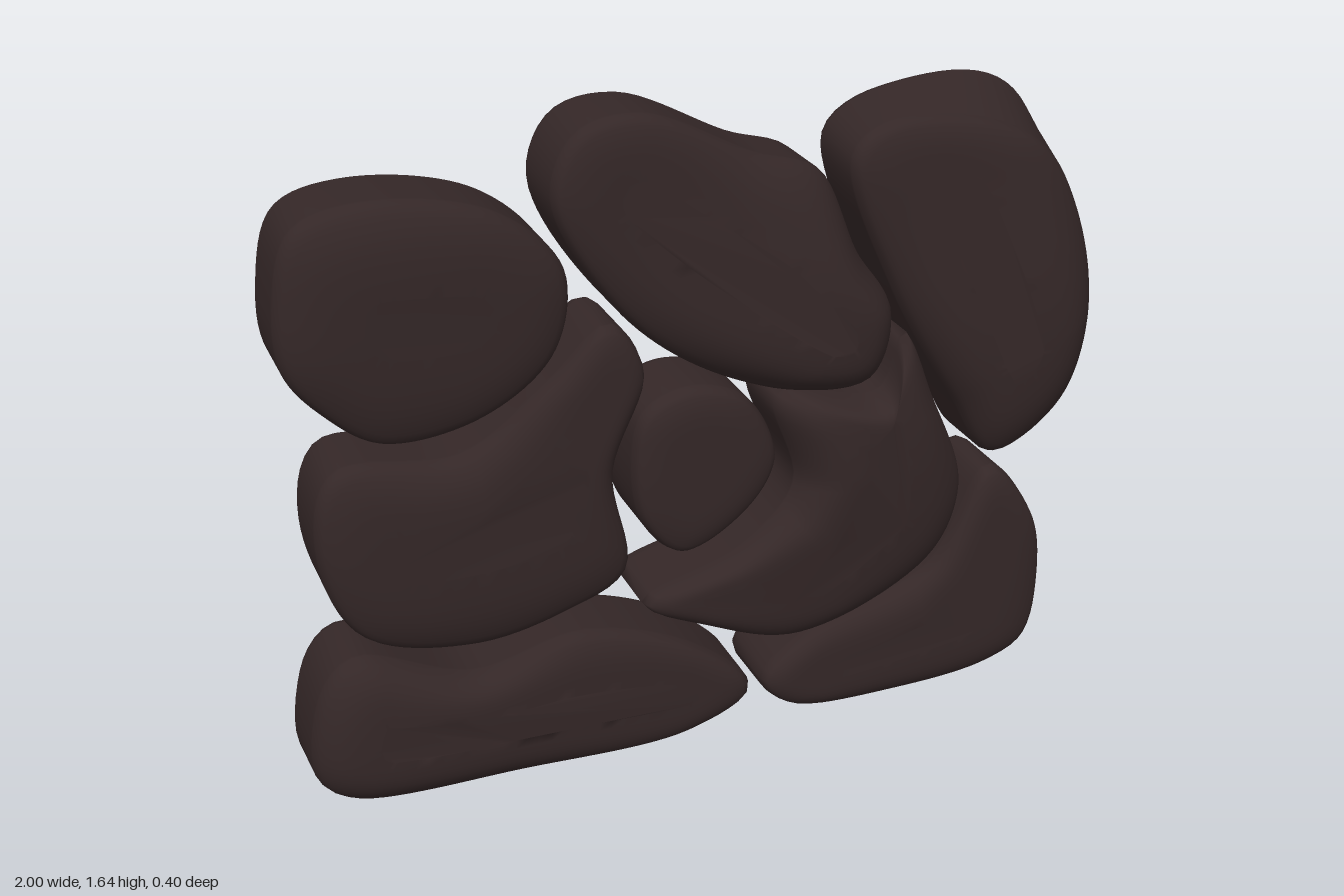
import * as THREE from 'three';
import { mergeVertices } from 'three/addons/utils/BufferGeometryUtils.js';

const WALL = 0.11; // half thickness of the stones at their rim
const CROWN = 0.02; // even doming of every face
const SAMPLES = 84; // points around each rim

// Cross-section from middle to rim: t pulls towards the spine, level 1 = rim edge, 2 = full bulge
const LAYERS = Array.from({ length: 11 }, (_, k) => {
  const u = (1 - k / 10) ** 2;
  return { t: 0.75 * u, level: 0.75 + 1.25 * (1 - (1 - u) ** 4) };
});

const toVec = ([x, y]) => new THREE.Vector3(x, y, 0);
const falloff = (v, x, y, size) => Math.exp(-((v.x - x) ** 2 + (v.y - y) ** 2) / size);

// Closest point to p on a polyline
function nearestOnSpine(p, spine) {
  let best = null;
  for (let i = 0; i + 1 < spine.length; i++) {
    const q = new THREE.Line3(spine[i], spine[i + 1]).closestPointToPoint(p, true, new THREE.Vector3());
    if (!best || q.distanceTo(p) < best.distanceTo(p)) best = q;
  }
  return best;
}

// Pillow-shaped stone: rings run from the front cap, out over the rim, to the back cap.
// outline is clockwise; front/back are the bulge peaks [x, y, depth];
// swell pushes part of the back rim outwards.
function stoneGeometry(outline, spine, front, back, swell) {
  const n = SAMPLES;
  const rim = new THREE.CatmullRomCurve3(outline.map(toVec), true).getSpacedPoints(n).slice(0, n);
  const line = spine.map(toVec);
  const roots = rim.map((p) => nearestOnSpine(p, line));
  const rings = [
    ...LAYERS.map((layer) => ({ ...layer, side: 1 })),
    ...LAYERS.map((layer) => ({ ...layer, side: -1 })).reverse(),
  ];
  const positions = [], index = [];
  rings.forEach(({ t, level, side }, r) => {
    const [px, py, depth] = side > 0 ? front : back;
    rim.forEach((p, i) => {
      const v = p.clone().lerp(roots[i], t);
      const bulge = CROWN + (depth - WALL - CROWN) * falloff(v, px, py, 0.12);
      v.z = side * (WALL * Math.min(level, 1) + bulge * Math.max(level - 1, 0));
      if (swell && side < 0) {
        const w = falloff(v, swell.x, swell.y, 0.07);
        v.x += swell.dx * w;
        v.y += swell.dy * w;
      }
      positions.push(v.x, v.y, v.z);
      if (r + 1 < rings.length) {
        const a = r * n + i, b = r * n + (i + 1) % n;
        index.push(a, b + n, a + n, a, b, b + n);
      }
    });
  });
  // Close the innermost ring on both faces
  const inner = rim.map((p, i) => p.clone().lerp(roots[i], LAYERS[0].t)).reverse();
  const last = (rings.length - 1) * n;
  for (const face of THREE.ShapeUtils.triangulateShape(inner, [])) {
    const [a, b, c] = face.map((i) => n - 1 - i);
    index.push(a, b, c, last + a, last + c, last + b);
  }
  const geometry = new THREE.BufferGeometry();
  geometry.setAttribute('position', new THREE.Float32BufferAttribute(positions, 3));
  geometry.setIndex(index);
  const merged = mergeVertices(geometry, 1e-4);
  merged.computeVertexNormals();
  return merged;
}

export function createModel() {
  const group = new THREE.Group();
  group.name = 'stoneCluster';
  const material = new THREE.MeshStandardMaterial({ color: 0x342727 });
  const addStone = (name, ...shape) => {
    const mesh = new THREE.Mesh(stoneGeometry(...shape), material);
    mesh.name = name;
    group.add(mesh);
  };

  // Top row
  addStone('upperLeftStone',
    [[-1, 1.3], [-0.95, 1.47], [-0.79, 1.515], [-0.5, 1.455], [-0.35, 1.3], [-0.38, 1.11], [-0.55, 0.98], [-0.78, 0.95],
      [-0.91, 1.04], [-0.99, 1.15]],
    [[-0.76, 1.24], [-0.58, 1.23]], [-0.75, 1.3, 0.15], [-0.75, 1.2, 0.17]);
  addStone('upperMiddleStone',
    [[-0.38, 1.47], [-0.32, 1.61], [-0.17, 1.64], [0.1, 1.52], [0.26, 1.46], [0.36, 1.25], [0.45, 1.1], [0.4, 0.93],
      [0.2, 0.925], [-0.05, 1.03], [-0.24, 1.2]],
    [[-0.18, 1.45], [0.28, 1.08]], [0.27, 1.12, 0.2], [0.22, 1.27, 0.2]);
  addStone('upperRightStone',
    [[0.34, 1.48], [0.42, 1.55], [0.7, 1.53], [0.87, 1.42], [0.99, 1.08], [0.93, 0.79], [0.74, 0.67], [0.63, 0.83], [0.45, 1.15]],
    [[0.6, 1.38], [0.77, 0.95]], [0.85, 1.03, 0.18], [0.78, 1.45, 0.18], { x: 0.76, y: 1.55, dx: 0.04, dy: 0.07 });

  // Middle row
  addStone('middleLeftStone',
    [[-0.95, 0.72], [-0.9, 0.9], [-0.6, 0.9], [-0.4, 1.04], [-0.25, 1.16], [-0.17, 1.04], [-0.25, 0.8], [-0.22, 0.53],
      [-0.38, 0.445], [-0.6, 0.405], [-0.86, 0.48]],
    [[-0.72, 0.68], [-0.42, 0.7], [-0.28, 0.98]], [-0.6, 0.7, 0.15], [-0.35, 0.78, 0.2]);
  addStone('centreStone',
    [[-0.2, 0.83], [-0.17, 0.93], [-0.06, 0.975], [0.08, 0.93], [0.16, 0.77], [0.1, 0.65], [-0.08, 0.55], [-0.18, 0.65]],
    [[-0.04, 0.8], [-0.02, 0.74]], [-0.03, 0.77, 0.13], [-0.03, 0.77, 0.13]);
  addStone('crescentStone',
    [[0.16, 0.92], [0.43, 0.89], [0.49, 1.03], [0.57, 0.86], [0.66, 0.6], [0.58, 0.41], [0.22, 0.265], [-0.02, 0.34],
      [-0.18, 0.43], [0.07, 0.53], [0.21, 0.68]],
    [[0.42, 0.8], [0.43, 0.58], [0.25, 0.42], [0, 0.42]], [0.33, 0.74, 0.19], [0.42, 0.6, 0.16]);

  // Bottom row
  addStone('lowerLeftStone',
    [[-0.99, 0.13], [-0.96, 0.36], [-0.88, 0.43], [-0.6, 0.335], [-0.33, 0.385], [-0.05, 0.29], [0.1, 0.14], [-0.07, 0.05],
      [-0.5, 0.04], [-0.92, 0.06]],
    [[-0.8, 0.22], [-0.08, 0.17]], [-0.75, 0.18, 0.17], [-0.7, 0.13, 0.16], { x: -0.65, y: 0.04, dx: -0.02, dy: -0.04 });
  addStone('lowerRightStone',
    [[0.13, 0.15], [0.25, 0.26], [0.58, 0.38], [0.74, 0.635], [0.87, 0.48], [0.9, 0.3], [0.87, 0.13], [0.76, 0.07],
      [0.5, 0.045], [0.2, 0.07]],
    [[0.28, 0.15], [0.68, 0.22], [0.75, 0.45]], [0.55, 0.2, 0.14], [0.55, 0.2, 0.16]);
  return group;
}
